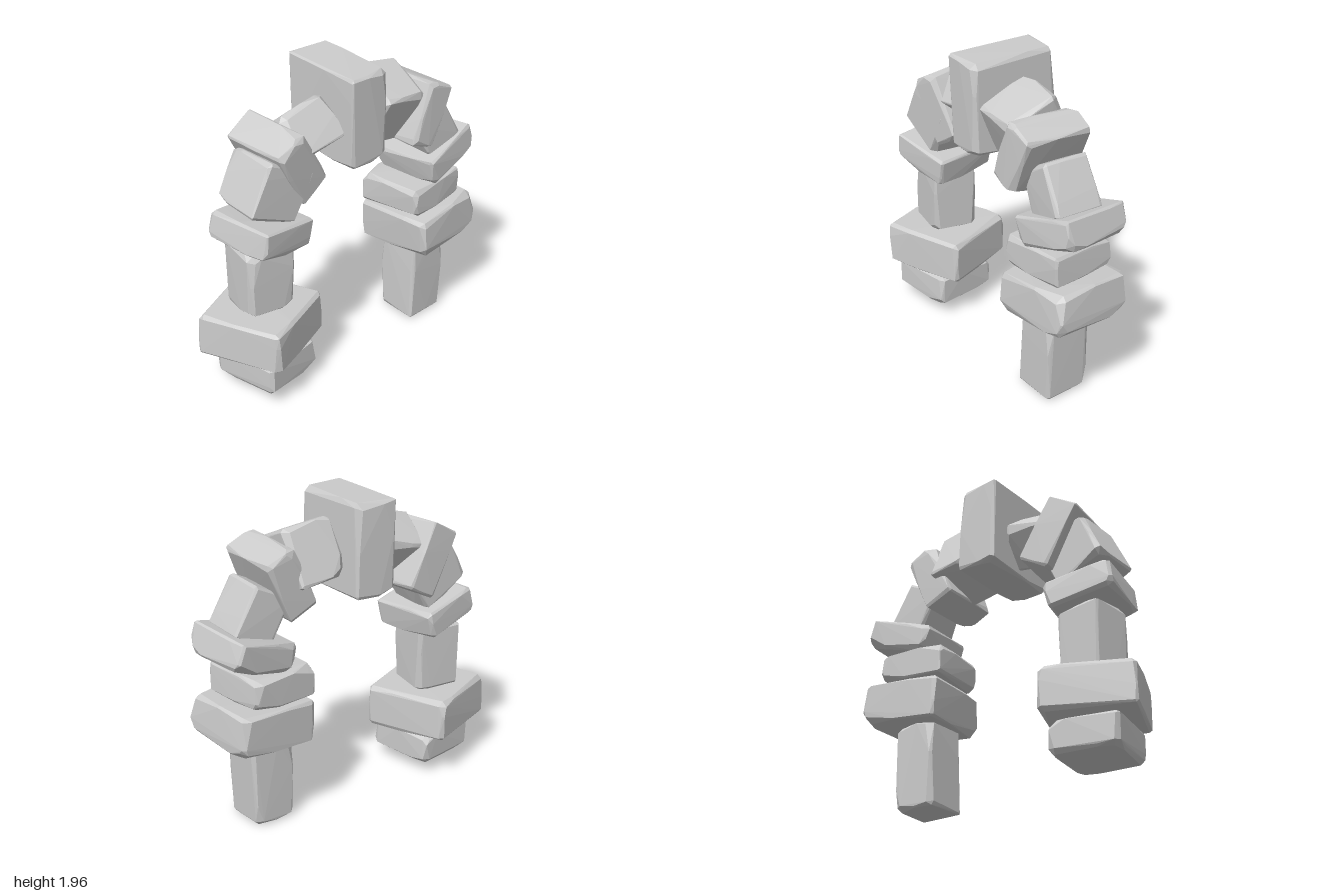
import * as THREE from 'three';
import { ConvexGeometry } from 'three/addons/geometries/ConvexGeometry.js';

// Seeded random numbers in [0, 1)
function makeRandom(seed) {
  let s = seed * 7919 + 17;
  return () => {
    s = (s * 16807) % 2147483647;
    return s / 2147483647;
  };
}

// Rough hewn block: a box with uneven, chipped chamfers on its edges and corners
function stoneGeometry(size, seed) {
  const rnd = makeRandom(seed);
  for (let i = 0; i < 5; i++) rnd();
  const half = size.map((v) => v / 2);
  const points = [];
  const axes = ['x', 'y', 'z'];
  // one point on the face of the given axis, inset from the neighbouring faces
  const addPoint = (axis, signs, inset) => {
    const p = new THREE.Vector3();
    axes.forEach((name, i) => {
      const cut = i === axis ? rnd() * 0.01 : inset[i];
      p[name] = signs[i] * (half[i] - cut);
    });
    points.push(p);
  };
  for (const sx of [-1, 1]) for (const sy of [-1, 1]) for (const sz of [-1, 1]) {
    const chip = 0.014 + rnd() * 0.03;
    for (let axis = 0; axis < 3; axis++) {
      addPoint(axis, [sx, sy, sz], [0, 1, 2].map(() => chip * (0.6 + rnd() * 0.8)));
    }
  }
  // chips part way along each edge
  for (let along = 0; along < 3; along++) {
    const a = (along + 1) % 3, b = (along + 2) % 3;
    for (const sa of [-1, 1]) for (const sb of [-1, 1]) {
      const signs = [1, 1, 1];
      signs[a] = sa;
      signs[b] = sb;
      const inset = [0, 0, 0];
      inset[along] = half[along] * (0.5 + rnd());
      inset[a] = inset[b] = 0.012 + rnd() * 0.012;
      addPoint(a, signs, inset);
      addPoint(b, signs, inset);
    }
  }
  return new ConvexGeometry(points);
}

// name, size, position, rotation (tilt, yaw, roll)
const STONES = [
  // front leg, from the bottom up
  ['frontFootStone', [0.45, 0.21, 0.43], [0.025, 0.185, 0.62], [0, 0.2, 0]],
  ['frontPlinthStone', [0.56, 0.28, 0.57], [0, 0.43, 0.635], [0, 0.4, 0]],
  ['frontPillarStone', [0.3, 0.43, 0.31], [0, 0.78, 0.63], [0, -0.1, 0]],
  ['frontCapStone', [0.45, 0.19, 0.43], [0.01, 1.085, 0.62], [-0.19, 0.2, 0]],
  // front half of the arch
  ['frontLowerArchStone', [0.35, 0.34, 0.36], [0.01, 1.36, 0.58], [-0.45, 0, 0]],
  ['frontMiddleArchStone', [0.44, 0.44, 0.23], [-0.02, 1.48, 0.455], [0.52, 0.08, -0.1]],
  ['frontUpperArchStone', [0.29, 0.29, 0.34], [-0.01, 1.59, 0.27], [0.2, 0, 0.66]],
  // crown
  ['keystone', [0.57, 0.58, 0.28], [-0.025, 1.668, -0.01], [0.02, 0, -0.02]],
  // back half of the arch
  ['backUpperArchStone', [0.36, 0.37, 0.33], [0.015, 1.61, -0.31], [-0.1, 0, -0.42]],
  ['backMiddleArchStone', [0.46, 0.41, 0.22], [0.045, 1.53, -0.51], [-0.4, 0.04, 0.04]],
  ['backLowerArchStone', [0.31, 0.33, 0.28], [0.02, 1.35, -0.67], [0.5, 0, 0]],
  // back leg, from the top down
  ['backCapStone', [0.46, 0.19, 0.44], [-0.01, 1.15, -0.74], [0.29, 0.15, 0]],
  ['backUpperLegStone', [0.45, 0.2, 0.45], [-0.01, 0.925, -0.62], [0.03, 0.14, 0]],
  ['backPlinthStone', [0.53, 0.27, 0.54], [0, 0.685, -0.69], [0.09, 0.13, 0]],
  ['backPillarStone', [0.3, 0.56, 0.29], [0.01, 0.282, -0.63], [-0.03, 0.04, 0]],
];

export function createModel() {
  const arch = new THREE.Group();
  arch.name = 'stoneArch';
  const material = new THREE.MeshStandardMaterial({ color: 0xcccccc, flatShading: true });
  STONES.forEach(([name, size, position, rotation], i) => {
    const stone = new THREE.Mesh(stoneGeometry(size, i + 1), material);
    stone.name = name;
    stone.position.set(...position);
    stone.rotation.set(...rotation);
    arch.add(stone);
  });
  return arch;
}
